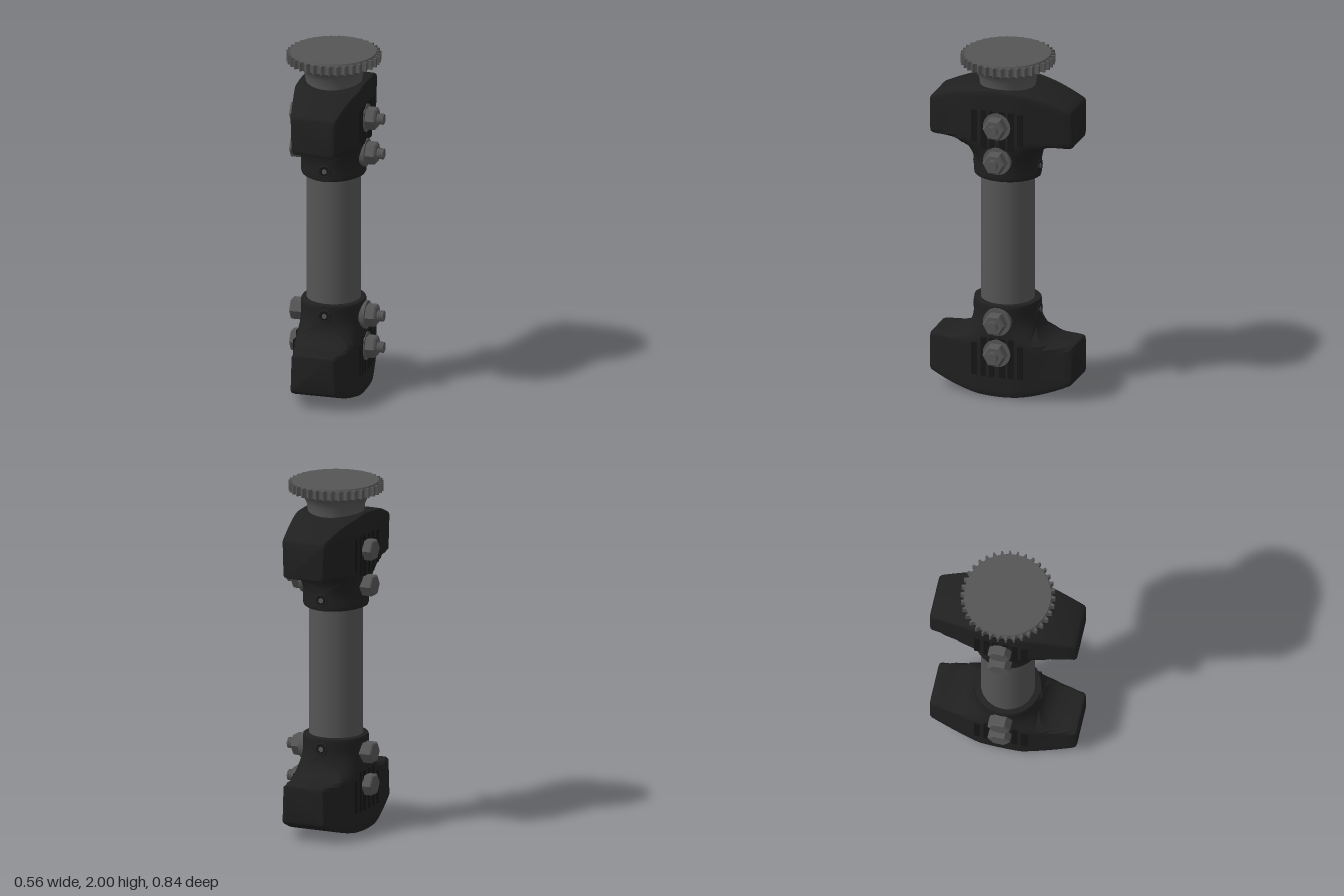
import * as THREE from 'three';
import { toCreasedNormals } from 'three/addons/utils/BufferGeometryUtils.js';

const steel = new THREE.MeshStandardMaterial({ color: 0x555555 });
steel.name = 'steel grey';
const rubber = new THREE.MeshStandardMaterial({ color: 0x202020 });
rubber.name = 'grip black';
const shade = new THREE.MeshStandardMaterial({ color: 0x161616 });
shade.name = 'slot black';

function add(parent, name, geometry, material, x = 0, y = 0, z = 0) {
  const mesh = new THREE.Mesh(geometry, material);
  mesh.name = name;
  mesh.position.set(x, y, z);
  parent.add(mesh);
  return mesh;
}

// Clamp outline (upper clamp, axis at x = 0)
const NECK = 0.19, LOW = 1.285, ARM = 1.51, END = 0.42, ROUND = 0.015;
const topY = z => 1.83 - 0.1 * (z / END) ** 2;
function bottomY(z) {
  const a = Math.abs(z);
  return a >= 0.3 ? ARM : ARM - 0.11 + Math.sqrt(Math.max(0, 0.0121 - (0.3 - a) ** 2));
}
// Half width: a round neck blending into tapered arms
function halfWidth(z, y) {
  const a = Math.abs(z);
  const round = 0.182 * Math.sqrt(Math.max(0, 1 - (a / NECK) ** 2));
  const arm = Math.min(0.19, 0.13 + 0.2 * (END - a)) - 0.03 * Math.max(0, 1.72 - y) * Math.min(1, a / 0.3);
  return THREE.MathUtils.lerp(round, arm, THREE.MathUtils.smoothstep(y, 1.36, 1.52));
}
const corner = d => d >= ROUND ? 0 : ROUND - Math.sqrt(ROUND ** 2 - (ROUND - d) ** 2);

function clampSection(z, yb, shrink) {
  const yt = topY(z) - shrink, base = yb + shrink, levels = [];
  for (let j = 0; j <= 20; j++) levels.push(THREE.MathUtils.lerp(LOW, yt - ROUND, j / 20));
  levels.splice(1, 0, LOW + 0.004, LOW + ROUND);
  levels.push(yt - 0.004, yt);
  const right = levels.map(l => {
    const y = Math.max(l, base);
    const w = halfWidth(z, y) - corner(y - base) - corner(yt - y) - shrink;
    return [Math.max(0, w), y, z];
  });
  return right.concat(right.map(([x, y]) => [-x, y, z]).reverse());
}

function clampGeometry() {
  // Half of the sections, from the arm end to the middle
  const half = [[END, ARM, 0.012], [END - 0.004, ARM, 0.004], [END - 0.014, ARM, 0]];
  for (const z of [0.37, 0.33, 0.3, 0.275, 0.25, 0.225, 0.207, 0.195, NECK]) half.push([z, bottomY(z), 0]);
  for (let i = 10; i > 0; i--) half.push([NECK * Math.sin(i * Math.PI / 20), LOW, 0]);
  const list = [...half.map(([z, y, s]) => [-z, y, s]), [0, LOW, 0], ...half.slice().reverse()];
  const rings = list.map(s => clampSection(...s));
  const n = rings[0].length, index = [];
  for (let i = 0; i < rings.length - 1; i++) {
    for (let j = 0; j < n; j++) {
      const k = (j + 1) % n, a = i * n + j, b = i * n + k;
      index.push(a, b, a + n, b, b + n, a + n);
    }
  }
  const last = (rings.length - 1) * n;
  for (let j = 1; j < n - 1; j++) index.push(0, j + 1, j, last, last + j, last + j + 1);
  const g = new THREE.BufferGeometry();
  g.setAttribute('position', new THREE.Float32BufferAttribute(rings.flat(2), 3));
  g.setIndex(index);
  return toCreasedNormals(g, 0.6);
}

function createClamp(name) {
  const clamp = new THREE.Group();
  clamp.name = name;
  add(clamp, 'clampBody', clampGeometry(), rubber);
  for (const side of [-1, 1]) {
    // Narrow vertical slots on both cheeks
    for (const [z, y0, y1] of [[0.135, 1.515, 1.705], [0.08, 1.48, 1.71], [0.03, 1.48, 1.71]]) {
      for (const s of [-1, 1]) {
        add(clamp, 'slot', new THREE.BoxGeometry(0.008, y1 - y0, 0.034), shade, side * 0.188, (y0 + y1) / 2, s * z);
      }
    }
    // Set screws at the front and back of the neck
    const rim = add(clamp, 'setScrewRim', new THREE.TorusGeometry(0.032, 0.007, 8, 24), rubber, 0, 1.345, side * 0.187);
    const hole = add(clamp, 'setScrewHole', new THREE.CylinderGeometry(0.032, 0.032, 0.01, 24), shade, 0, 1.345, side * 0.186);
    const pin = add(clamp, 'setScrew', new THREE.CylinderGeometry(0.016, 0.016, 0.01, 6), steel, 0, 1.345, side * 0.188);
    rim.rotation.y = side < 0 ? Math.PI : 0;
    hole.rotation.x = pin.rotation.x = Math.PI / 2;
  }
  return clamp;
}

// Through bolt with hex head, washer, nut and threaded tip
function createBolt(y) {
  const bolt = new THREE.Group();
  bolt.name = 'throughBolt';
  bolt.position.y = y;
  const rod = (name, r0, r1, x0, x1, sides) => {
    const m = add(bolt, name, new THREE.CylinderGeometry(r1, r0, x1 - x0, sides), steel, (x0 + x1) / 2);
    m.rotation.z = -Math.PI / 2;
    return m;
  };
  rod('shank', 0.027, 0.027, -0.2, 0.293, 20);
  const hex = [
    rod('boltHead', 0.064, 0.064, -0.235, -0.17, 6),
    rod('boltHeadChamfer', 0.058, 0.064, -0.243, -0.235, 6),
    rod('nut', 0.066, 0.066, 0.19, 0.245, 6),
    rod('nutChamfer', 0.066, 0.056, 0.245, 0.255, 6),
  ];
  for (const m of hex) {
    m.geometry = toCreasedNormals(m.geometry, 0.3);
  }
  rod('washer', 0.08, 0.08, 0.165, 0.196, 32);
  for (let i = 0; i < 3; i++) rod('thread', 0.031, 0.031, 0.257 + i * 0.013, 0.265 + i * 0.013, 20);
  return bolt;
}

// Toothed rim of the knob
function toothedRim() {
  const teeth = 36, pts = [];
  for (let i = 0; i < teeth; i++) {
    for (const [t, r] of [[-0.5, 0.24], [-0.3, 0.242], [-0.17, 0.251], [-0.09, 0.265], [0.09, 0.265], [0.17, 0.251], [0.3, 0.242]]) {
      const a = (i + t) * Math.PI * 2 / teeth;
      pts.push(new THREE.Vector2(r * Math.cos(a), r * Math.sin(a)));
    }
  }
  const g = new THREE.ExtrudeGeometry(new THREE.Shape(pts), { depth: 0.052, bevelEnabled: false });
  return g.rotateX(-Math.PI / 2);
}

export function createModel() {
  const model = new THREE.Group();
  model.name = 'clampedPost';
  const body = new THREE.Group();
  body.name = 'postAssembly';
  body.position.x = -0.015;
  model.add(body);

  add(body, 'tube', new THREE.CylinderGeometry(0.152, 0.152, 1.7, 48), steel, 0, 0.95);

  // Upper clamp and its upside-down twin
  body.add(createClamp('upperClamp'));
  const lower = createClamp('lowerClamp');
  lower.rotation.x = Math.PI;
  lower.position.y = 1.835;
  body.add(lower);

  for (const y of [1.62, 1.415, 0.455, 0.27]) body.add(createBolt(y));

  // Knob: flared stem, toothed rim and flat cap
  const flare = [[0.15, 1.78], [0.158, 1.83], [0.164, 1.87], [0.178, 1.9], [0.2, 1.925], [0.212, 1.932], [0.24, 1.938], [0.24, 1.945]]
    .map(([r, y]) => new THREE.Vector2(r, y));
  const stem = toCreasedNormals(new THREE.LatheGeometry(flare, 48), 0.7);
  add(body, 'knobStem', stem, steel);
  add(body, 'knobTeeth', toothedRim(), steel, 0, 1.94);
  add(body, 'knobCap', new THREE.CylinderGeometry(0.24, 0.245, 0.012, 72), steel, 0, 1.994);
  return model;
}
